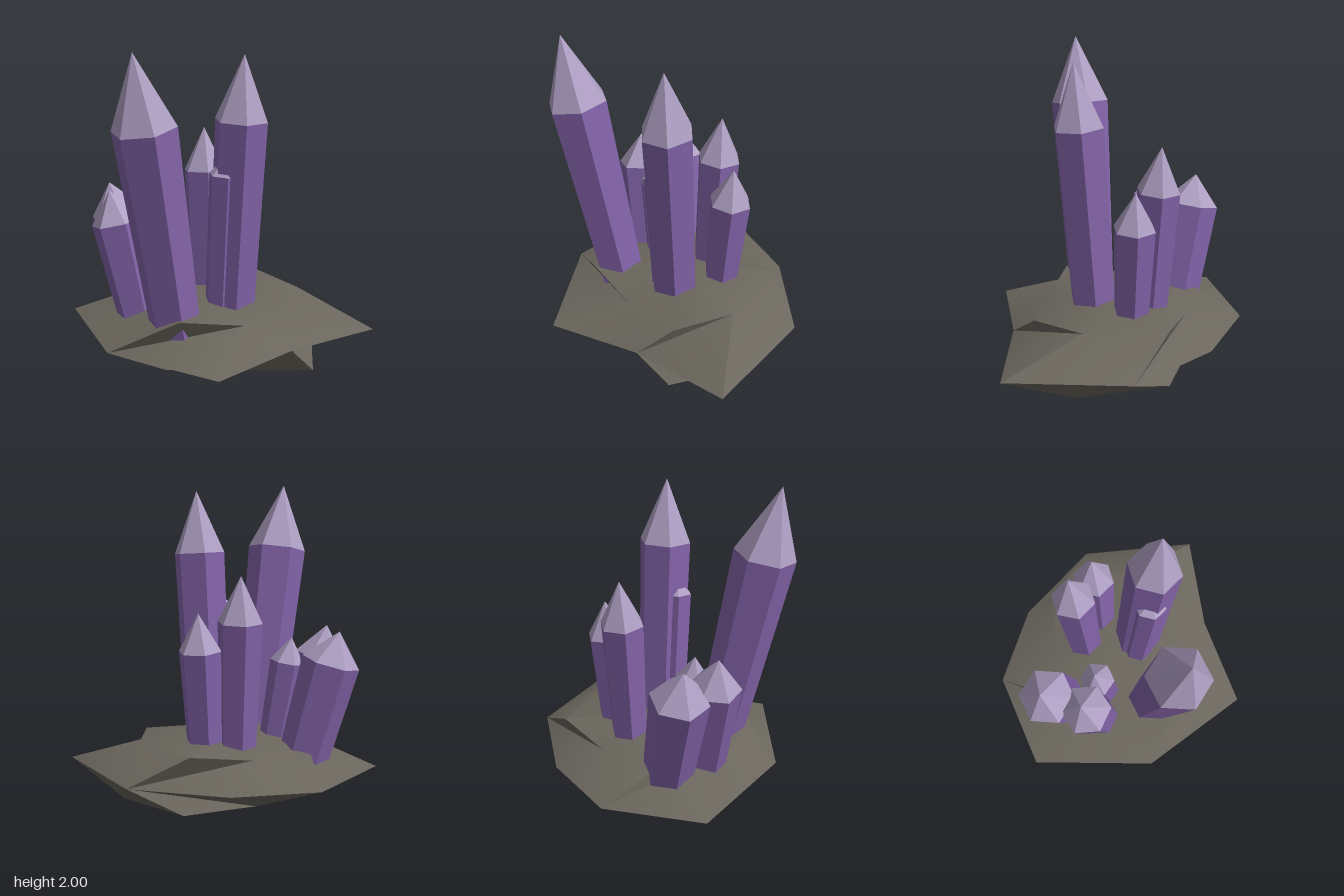
import * as THREE from 'three';
import { toCreasedNormals } from 'three/addons/utils/BufferGeometryUtils.js';

const rockMat = new THREE.MeshStandardMaterial({ color: 0x6b675e });
rockMat.name = 'grey rock';
const bodyMat = new THREE.MeshStandardMaterial({ color: 0x8464aa, flatShading: true });
bodyMat.name = 'violet crystal';
const tipMat = new THREE.MeshStandardMaterial({ color: 0xafa0c4, flatShading: true });
tipMat.name = 'pale crystal tip';

// Rings of the rock, running from the front towards +x
const rim = [[.03, .245, .81], [.74, .245, .55], [.7, .245, -.05], [.79, .245, -.68],
  [.03, .245, -.82], [-.5, .245, -.49], [-.8, .245, -.05], [-.72, .245, .58]];
const upper = [[.31, .44, .49], [.47, .375, .12], [.57, .4, -.23], [.29, .43, -.5],
  [-.22, .43, -.55], [-.4, .38, -.21], [-.5, .39, .19], [-.3, .37, .38]];
const lower = [[.25, .14, .55], [.47, .11, .2], [.68, .05, -.26], [.35, .05, -.59],
  [-.22, .09, -.6], [-.42, .1, -.2], [-.47, .12, .15], [-.28, .08, .4]];

function createRock() {
  const pos = [];
  // One half of the rock: jagged skirt from the rim to the inner ring, then a fan
  const half = (ring, pole, flip) => {
    const tri = (a, b, c) => pos.push(...a, ...(flip ? c : b), ...(flip ? b : c));
    for (let k = 0; k < 8; k += 2) {
      const n = (k + 2) % 8;
      tri(rim[k], rim[k + 1], ring[k + 1]);
      tri(rim[k], ring[k + 1], ring[k]);
      tri(rim[k + 1], rim[n], ring[k + 1]);
      tri(rim[n], ring[n], ring[k + 1]);
    }
    for (let k = 0; k < 8; k++) tri(pole, ring[k], ring[(k + 1) % 8]);
  };
  half(upper, [0, .46, 0], false);
  half(lower, [.03, 0, -.05], true);
  const geo = new THREE.BufferGeometry();
  geo.setAttribute('position', new THREE.Float32BufferAttribute(pos, 3));
  const mesh = new THREE.Mesh(toCreasedNormals(geo, 0.6), rockMat);
  mesh.name = 'rockBase';
  return mesh;
}

// Six-sided crystal leaning from base to apex
function createCrystal({ name, base, apex, r0, r1, tip, turn = 0 }) {
  const from = new THREE.Vector3(...base);
  const axis = new THREE.Vector3(...apex).sub(from);
  const len = axis.length();
  const group = new THREE.Group();
  group.name = name;
  const bodyGeo = new THREE.CylinderGeometry(r1, r0, len - tip, 6);
  bodyGeo.rotateY(turn).translate(0, (len - tip) / 2, 0);
  const tipGeo = new THREE.ConeGeometry(r1, tip, 6, 1, true);
  tipGeo.rotateY(turn).translate(0, len - tip / 2, 0);
  const body = new THREE.Mesh(bodyGeo, bodyMat);
  body.name = 'crystalBody';
  const point = new THREE.Mesh(tipGeo, tipMat);
  point.name = 'crystalTip';
  group.add(body, point);
  group.position.copy(from);
  group.quaternion.setFromUnitVectors(new THREE.Vector3(0, 1, 0), axis.normalize());
  return group;
}

const crystals = [
  { name: 'tallFrontCrystal', base: [.146, .3, .388], apex: [.2, 2, .705], r0: .155, r1: .192, tip: .43, turn: .2 },
  { name: 'tallSideCrystal', base: [.17, .3, -.03], apex: [.28, 1.96, -.03], r0: .15, r1: .165, tip: .39 },
  { name: 'sideSliverCrystal', base: [.15, .3, .05], apex: [.22, 1.35, .06], r0: .095, r1: .1, tip: .1 },
  { name: 'middleCrystal', base: [-.17, .3, -.11], apex: [-.235, 1.46, -.145], r0: .115, r1: .14, tip: .28 },
  { name: 'backCrystal', base: [-.035, .3, -.25], apex: [-.05, 1.235, -.32], r0: .11, r1: .135, tip: .23 },
  { name: 'leaningOuterCrystal', base: [-.4, .24, .22], apex: [-.57, 1.11, .375], r0: .155, r1: .18, tip: .2, turn: .15 },
  { name: 'leaningFrontCrystal', base: [-.215, .26, .4], apex: [-.355, 1.115, .515], r0: .13, r1: .16, tip: .2, turn: .3 },
  { name: 'leaningSmallCrystal', base: [-.125, .3, .25], apex: [-.22, 1.04, .33], r0: .09, r1: .11, tip: .16, turn: .15 },
];

export function createModel() {
  const model = new THREE.Group();
  model.name = 'crystalCluster';
  model.add(createRock());
  for (const c of crystals) model.add(createCrystal(c));
  return model;
}
